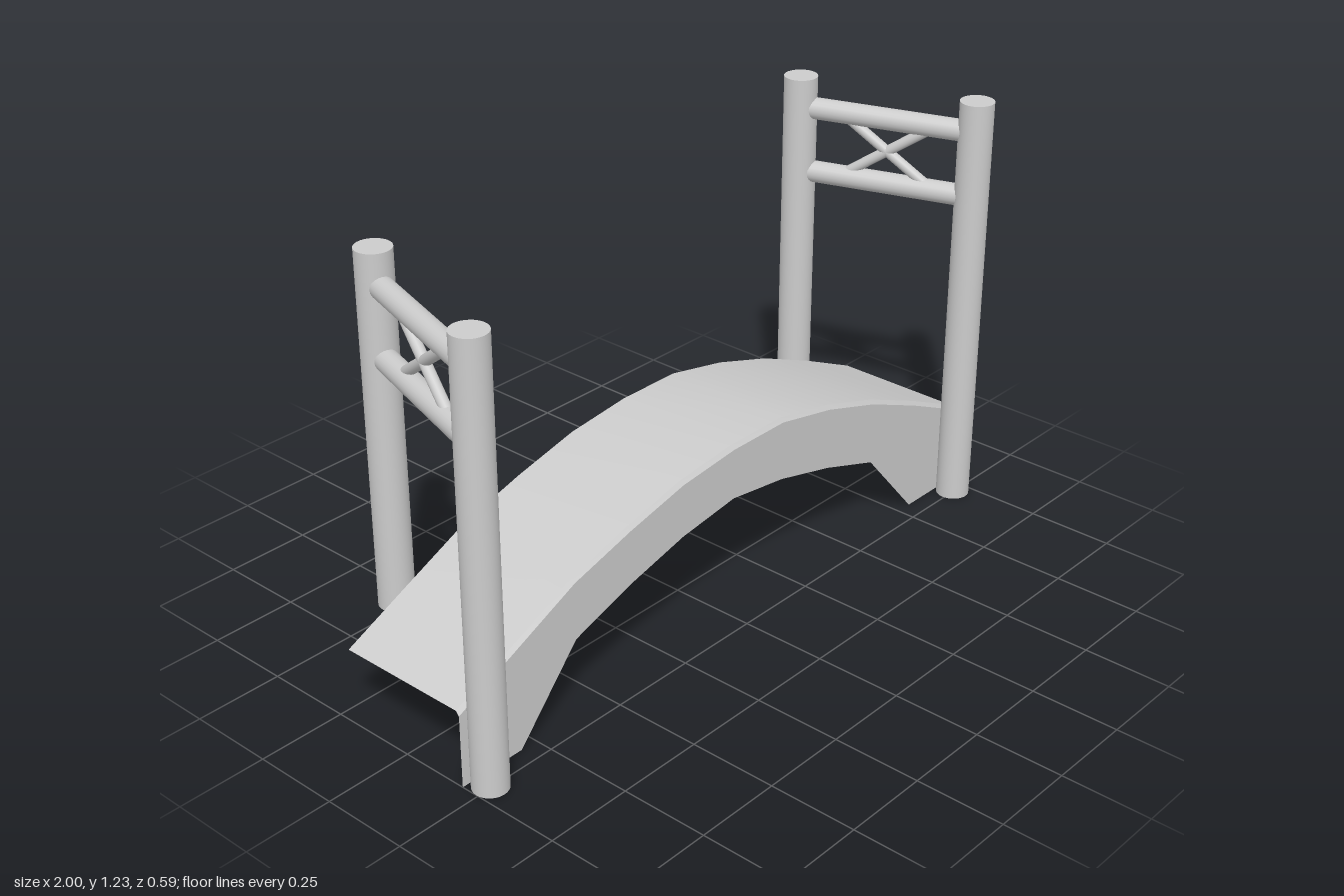
import * as THREE from 'three';

const grey = new THREE.MeshStandardMaterial({ color: 0xcccccc });
const greySheet = new THREE.MeshStandardMaterial({ color: 0xcccccc, side: THREE.DoubleSide });

// Arch heights at x = -1 to 1 in steps of 0.2
const deckY = [0.22, 0.312, 0.403, 0.46, 0.507, 0.528, 0.528, 0.487, 0.425, 0.342, 0.25];
const LIP = 0.012; // drop from deck edge to side wall
const stationX = (i) => -1 + i * 0.2;

function addMesh(parent, name, geometry, material) {
  const mesh = new THREE.Mesh(geometry, material);
  mesh.name = name;
  parent.add(mesh);
  return mesh;
}

// Sheet along the arch between a back edge and a front edge
function archStrip(backZ, backDrop, frontZ, frontDrop) {
  const positions = [], index = [];
  deckY.forEach((y, i) => {
    positions.push(stationX(i), y - backDrop, backZ, stationX(i), y - frontDrop, frontZ);
    if (i > 0) {
      const a = 2 * (i - 1);
      index.push(a, a + 1, a + 3, a, a + 3, a + 2);
    }
  });
  const geometry = new THREE.BufferGeometry();
  geometry.setAttribute('position', new THREE.Float32BufferAttribute(positions, 3));
  geometry.setIndex(index);
  geometry.computeVertexNormals();
  return geometry;
}

// Round bar between two points
function addBar(parent, name, from, to, radius) {
  const dir = to.clone().sub(from);
  const geometry = new THREE.CylinderGeometry(radius, radius, dir.length(), 20, 1, true);
  const bar = addMesh(parent, name, geometry, greySheet);
  bar.position.copy(from).add(to).multiplyScalar(0.5);
  bar.quaternion.setFromUnitVectors(new THREE.Vector3(0, 1, 0), dir.normalize());
}

// Upright post, capped on top and open underneath
function addPost(parent, name, x, z, bottom, top) {
  const r = 0.048;
  const post = new THREE.Group();
  post.name = name;
  const shaft = addMesh(post, name + 'Shaft',
    new THREE.CylinderGeometry(r, r, top - bottom, 32, 1, true), greySheet);
  shaft.position.y = (top + bottom) / 2;
  const cap = addMesh(post, name + 'Cap', new THREE.CircleGeometry(r, 32), grey);
  cap.rotation.x = -Math.PI / 2;
  cap.position.y = top;
  post.position.set(x, 0, z);
  parent.add(post);
}

// Gate at one end: two posts, two rails and crossed braces
function buildGate(side) {
  const gate = new THREE.Group();
  gate.name = side > 0 ? 'leftGate' : 'rightGate';
  const frontX = side * 0.952, backX = side * 0.795, postZ = 0.245;
  addPost(gate, 'frontPost', frontX, postZ, 0, 1.225);
  addPost(gate, 'backPost', backX, -postZ, 0.24, 1.225);

  // Point in the gate's plane at a given z and height
  const at = (z, y) => new THREE.Vector3(
    THREE.MathUtils.lerp(backX, frontX, (z + postZ) / (2 * postZ)), y, z);
  const low = 0.944, high = 1.134;
  addBar(gate, 'lowerRail', at(postZ, low), at(-postZ, low), 0.031);
  addBar(gate, 'upperRail', at(postZ, high), at(-postZ, high), 0.031);
  for (const s of [-1, 1]) {
    addBar(gate, 'crossBrace', at(0.005 - s * 0.132, low), at(0.005 + s * 0.132, high), 0.015);
  }
  return gate;
}

export function createModel() {
  const bridge = new THREE.Group();
  bridge.name = 'archedBridge';

  // Walkway and its narrow sloping front edge
  addMesh(bridge, 'deck', archStrip(-0.197, 0, 0.188, 0), greySheet);
  addMesh(bridge, 'deckLip', archStrip(0.188, 0, 0.198, LIP), greySheet);

  // Front wall following the arch, with a foot at each end
  const underside = [[-1, 0], [-0.8, 0], [-0.6, 0.227], [-0.4, 0.293], [-0.2, 0.343], [0, 0.37],
    [0.2, 0.343], [0.4, 0.293], [0.6, 0.227], [0.8, 0], [1, 0]];
  const topEdge = deckY.map((y, i) => [stationX(i), y - LIP]).reverse();
  const outline = [...underside, ...topEdge].map(([x, y]) => new THREE.Vector2(x, y));
  const wall = addMesh(bridge, 'frontWall',
    new THREE.ShapeGeometry(new THREE.Shape(outline)), greySheet);
  wall.position.z = 0.198;

  for (const side of [-1, 1]) bridge.add(buildGate(side));
  return bridge;
}
